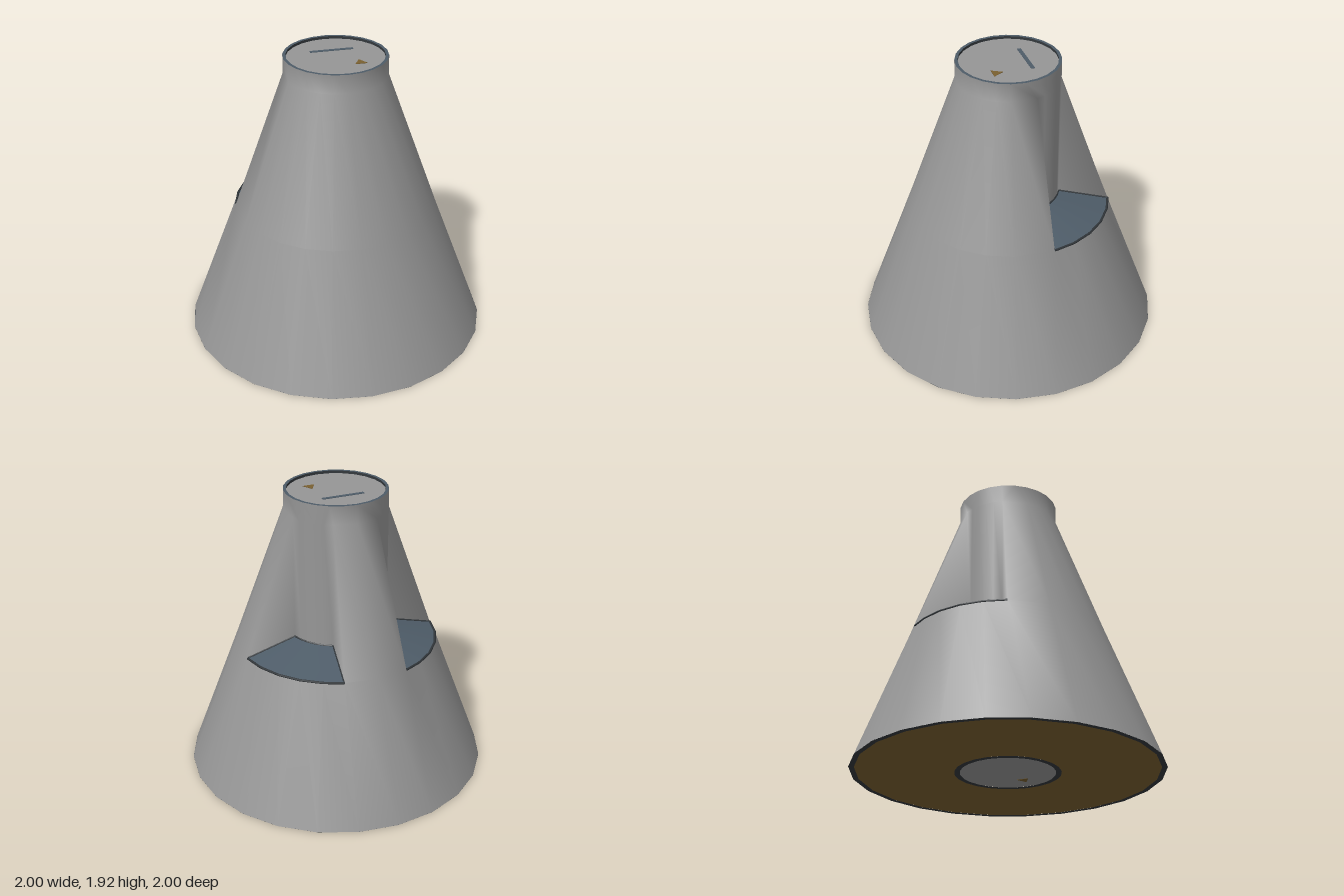
import * as THREE from 'three';

const mat = (name, color, side = THREE.FrontSide) => {
  const m = new THREE.MeshStandardMaterial({ color, side });
  m.name = name;
  return m;
};

// Column angles (degrees from the back) at the window sill and at the neck
const SILL = [0, 18.6, 30, 43, 56, 69, 82];
const NECK = [0, 26, 36, 46, 56, 66, 76];
const FIRST = 1, LAST = 6, SIDES = 24;

function point(k, r, y, table) {
  const n = Math.abs(k);
  const deg = table && n < table.length ? table[n] : n * 15;
  const a = THREE.MathUtils.degToRad(deg) * Math.sign(k);
  return new THREE.Vector3(r * Math.sin(a), y, -r * Math.cos(a));
}
const rows = {
  base: k => point(k, 1, 0),
  sill: k => point(k, 0.665, 0.89, SILL),
  inner: k => point(k, 0.335, 0.975, NECK),
  neck: k => point(k, 0.335, 1.8, NECK),
  top: k => point(k, 0.335, 1.925),
};

// Collects shared corners so that the surface shades smoothly
function surface() {
  const pos = [], index = [], ids = new Map();
  const id = (row, k) => {
    if (k > SIDES / 2) k -= SIDES;
    const key = row + k;
    if (!ids.has(key)) {
      ids.set(key, pos.length / 3);
      pos.push(...rows[row](k).toArray());
    }
    return ids.get(key);
  };
  const tri = (...corners) => corners.forEach(([row, k]) => index.push(id(row, k)));
  const panel = (low, high, k) => {
    tri([low, k], [high, k], [high, k + 1]);
    tri([low, k], [high, k + 1], [low, k + 1]);
  };
  const build = () => {
    const g = new THREE.BufferGeometry();
    g.setAttribute('position', new THREE.Float32BufferAttribute(pos, 3));
    g.setIndex(index);
    g.computeVertexNormals();
    return g;
  };
  return { tri, panel, build };
}

export function createModel() {
  const model = new THREE.Group();
  model.name = 'capsule';
  const grey = mat('hullGrey', 0x969696);
  const glass = mat('windowBlue', 0x4e5c68);
  const dark = mat('darkTrim', 0x33383c, THREE.DoubleSide);
  const gold = mat('heatShieldGold', 0x7a6030);

  const add = (name, geometry, material, y = 0) => {
    const mesh = new THREE.Mesh(geometry, material);
    mesh.name = name;
    mesh.position.y = y;
    model.add(mesh);
    return mesh;
  };

  // Conical hull with two window recesses cut into the back
  const hull = surface();
  const inWindow = k => (k >= FIRST && k < LAST) || (k >= -LAST && k < -FIRST);
  for (let k = 1 - SIDES / 2; k <= SIDES / 2; k++) {
    hull.panel('base', 'sill', k);
    hull.panel(inWindow(k) ? 'inner' : 'sill', 'neck', k);
    hull.panel('neck', 'top', k);
  }
  for (const [a, b] of [[FIRST, LAST], [-LAST, -FIRST]]) {
    hull.tri(['sill', a], ['neck', a], ['inner', a]);
    hull.tri(['sill', b], ['inner', b], ['neck', b]);
  }
  add('hull', hull.build(), grey);

  // Sloping window panes and their slim frames
  for (const [a, b, side] of [[FIRST, LAST, 'left'], [-LAST, -FIRST, 'right']]) {
    const pane = surface();
    const edge = [];
    for (let k = a; k < b; k++) pane.panel('sill', 'inner', k);
    for (let k = a; k <= b; k++) edge.push(rows.sill(k));
    for (let k = b; k >= a; k--) edge.push(rows.inner(k));
    add(side + 'Window', pane.build(), glass);
    const path = new THREE.CurvePath();
    edge.forEach((p, i) => path.add(new THREE.LineCurve3(p, edge[(i + 1) % edge.length])));
    add(side + 'WindowFrame', new THREE.TubeGeometry(path, 96, 0.008, 5, true), dark);
  }

  // Flat discs and rings facing up or down
  const ring = (name, r0, r1, y, up, material) => {
    const g = r0 ? new THREE.RingGeometry(r0, r1, SIDES) : new THREE.CircleGeometry(r1, SIDES);
    add(name, g.rotateX(up ? -Math.PI / 2 : Math.PI / 2), material, y);
  };

  // Top hatch, set slightly below the neck rim
  ring('hatch', 0, 0.32, 1.907, true, grey);
  ring('hatchRim', 0.315, 0.335, 1.925, true, glass);
  add('hatchWall', new THREE.CylinderGeometry(0.316, 0.316, 0.02, SIDES, 1, true), dark, 1.915);
  const slot = add('hatchSlot', new THREE.BoxGeometry(0.28, 0.004, 0.025), glass, 1.908);
  slot.position.z = -0.115;

  // Base plate with a round centre cover
  ring('heatShield', 0.335, 0.97, 0.003, false, gold);
  ring('baseRim', 0.965, 1, 0.001, false, dark);
  ring('coverRim', 0.305, 0.34, 0.001, false, dark);
  ring('baseCover', 0, 0.31, 0.003, false, grey);

  // Small triangular marks on hatch and base cover
  for (const [name, y] of [['hatchMark', 1.908], ['baseMark', 0.003]]) {
    const mark = add(name, new THREE.CylinderGeometry(0.045, 0.045, 0.004, 3), gold, y);
    mark.position.x = 0.13;
    mark.position.z = 0.12;
    mark.rotation.y = Math.PI;
  }
  return model;
}
